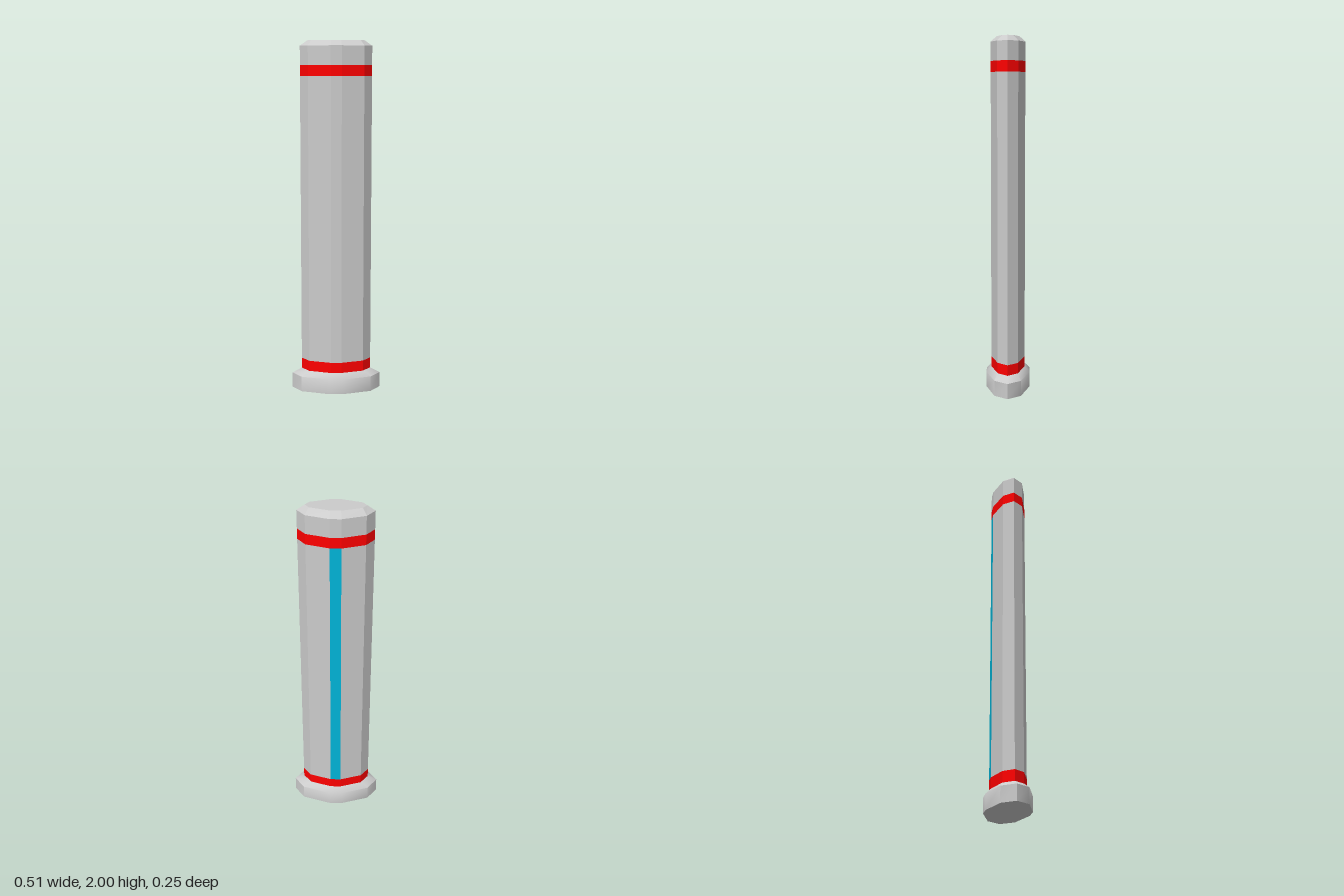
import * as THREE from 'three';
import { toCreasedNormals } from 'three/addons/utils/BufferGeometryUtils.js';

const GREY = 0xcccccc, RED = 0xff0000, TEAL = 0x00b4d8;
const BACK = 2; // index of the facet facing -z

// Ten-sided section, counter-clockwise from above, from its three right-back corners
function section(tip, shoulder, flat) {
  const [sx, sz] = shoulder, [fx, fz] = flat;
  return [
    [tip, 0], [sx, -sz], [fx, -fz], [-fx, -fz], [-sx, -sz],
    [-tip, 0], [-sx, sz], [-fx, fz], [fx, fz], [sx, sz],
  ];
}

const FOOT = section(0.255, [0.2, 0.075], [0.04, 0.125]);
const SHAFT = section(0.2, [0.155, 0.057], [0.03, 0.096]);
const CROWN = section(0.157, [0.135, 0.03], [0.027, 0.063]);

// Skin a stack of [section, y] levels; keep() chooses which facets are built
function loft(levels, { top = false, bottom = false, keep = () => true } = {}) {
  const pos = [];
  const rings = levels.map(([s, y]) => s.map(([x, z]) => [x, y, z]));
  const tri = (a, b, c) => pos.push(...a, ...b, ...c);
  const n = rings[0].length;
  for (let k = 0; k < rings.length - 1; k++) {
    const lo = rings[k], hi = rings[k + 1];
    for (let i = 0; i < n; i++) {
      if (!keep(i)) continue;
      const j = (i + 1) % n;
      tri(lo[i], lo[j], hi[j]);
      tri(lo[i], hi[j], hi[i]);
    }
  }
  const first = rings[0], last = rings[rings.length - 1];
  for (let i = 1; i < n - 1; i++) {
    if (top) tri(last[0], last[i], last[i + 1]);
    if (bottom) tri(first[0], first[i + 1], first[i]);
  }
  const geo = new THREE.BufferGeometry();
  geo.setAttribute('position', new THREE.Float32BufferAttribute(pos, 3));
  geo.computeVertexNormals();
  return geo;
}

export function createModel() {
  const model = new THREE.Group();
  model.name = 'pillar';
  const add = (name, geo, color, flatShading = true) => {
    const mesh = new THREE.Mesh(geo, new THREE.MeshStandardMaterial({ color, flatShading }));
    mesh.name = name;
    model.add(mesh);
  };

  // Foot with a bevel rising to the shaft
  const foot = loft([[FOOT, 0], [FOOT, 0.088], [SHAFT, 0.117]], { bottom: true });
  add('foot', toCreasedNormals(foot, 0.9), GREY, false);

  // Red bands around both ends of the shaft
  add('lowerBand', loft([[SHAFT, 0.117], [SHAFT, 0.178]]), RED);
  add('upperBand', loft([[SHAFT, 1.805], [SHAFT, 1.865]]), RED);

  // Shaft, with its rear facet as a coloured strip
  const span = [[SHAFT, 0.178], [SHAFT, 1.805]];
  add('shaft', loft(span, { keep: (i) => i !== BACK }), GREY);
  add('rearStrip', loft(span, { keep: (i) => i === BACK }), TEAL);

  // Bevelled cap
  add('cap', loft([[SHAFT, 1.865], [SHAFT, 1.97], [CROWN, 2]], { top: true }), GREY);

  return model;
}
